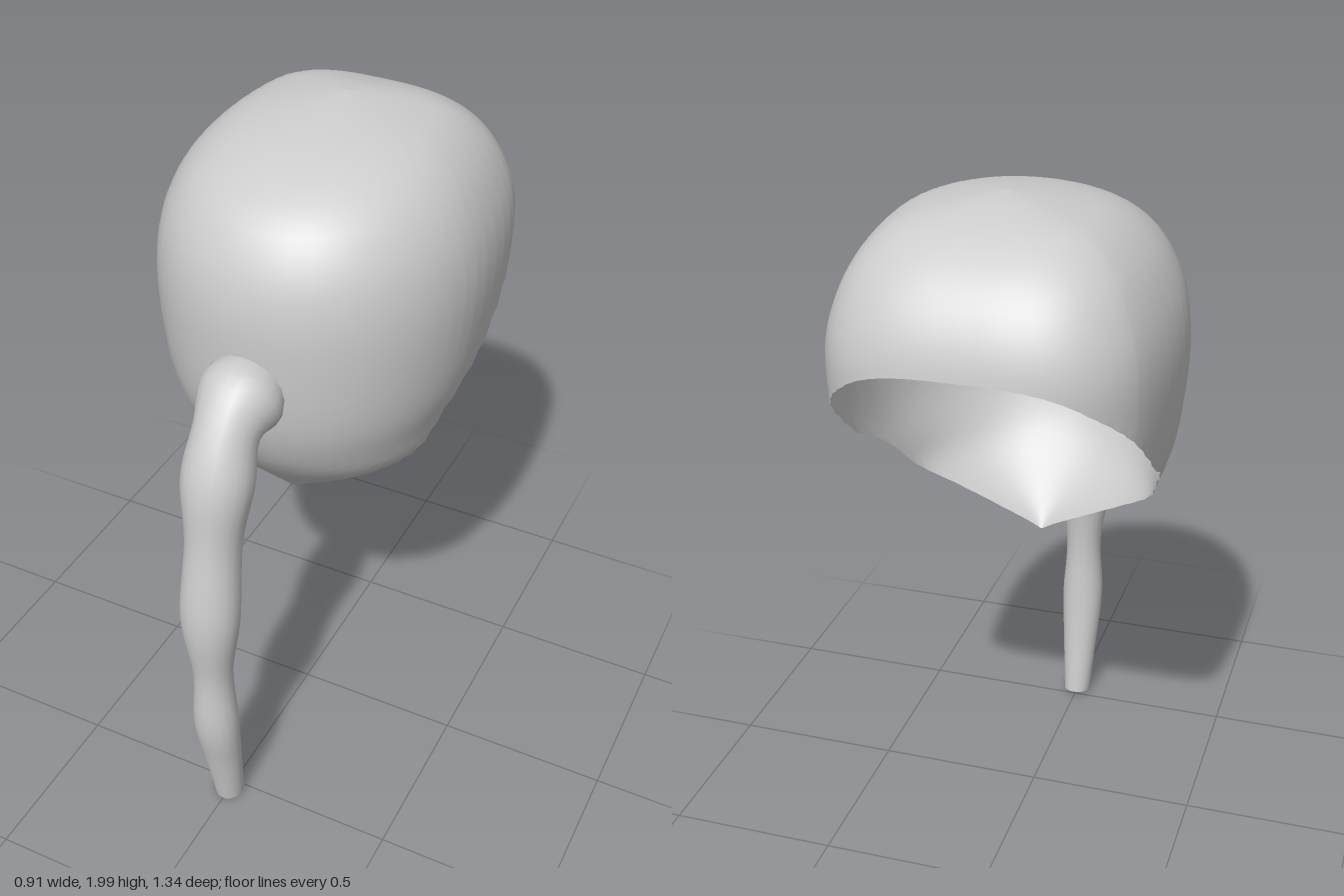
import * as THREE from 'three';

const V = (x, y, z) => new THREE.Vector3(x, y, z);
const spline = (pts) => new THREE.CatmullRomCurve3(pts, false, 'catmullrom', 0.5);

// Skin a list of closed rings; each ring runs from +z towards +x, rings go downwards
function loft(rings) {
  const n = rings[0].length, pos = [], idx = [];
  rings.forEach((r) => r.forEach((p) => pos.push(p.x, p.y, p.z)));
  for (let i = 0; i < rings.length - 1; i++) {
    for (let j = 0; j < n; j++) {
      const k = (j + 1) % n, a = i * n, b = a + n;
      idx.push(a + j, b + j, a + k, a + k, b + j, b + k);
    }
  }
  const g = new THREE.BufferGeometry();
  g.setAttribute('position', new THREE.Float32BufferAttribute(pos, 3));
  g.setIndex(idx);
  g.computeVertexNormals();
  return g;
}

// Shell sections: height, half width, centre z, front z, back z
const SECTIONS = [
  [2.0, 0.0, -0.23, -0.23, -0.23],
  [1.985, 0.11, -0.22, -0.09, -0.33],
  [1.945, 0.26, -0.2, 0.09, -0.45],
  [1.87, 0.355, -0.17, 0.25, -0.56],
  [1.77, 0.415, -0.15, 0.33, -0.635],
  [1.65, 0.447, -0.15, 0.368, -0.672],
  [1.5, 0.45, -0.14, 0.373, -0.672],
  [1.3, 0.425, -0.13, 0.355, -0.672],
  [1.16, 0.38, -0.12, 0.31, -0.672],
  [1.06, 0.345, -0.12, 0.245, -0.66],
  [0.97, 0.22, -0.12, 0.165, -0.64],
  [0.88, 0.03, -0.12, 0.08, -0.6],
];
// Opening edge seen from the side: height, z
const RIM = [[0.88, 0.08], [0.97, 0.06], [1.02, 0.04], [1.07, 0], [1.12, -0.05], [1.18, -0.1],
  [1.25, -0.19], [1.3, -0.29], [1.4, -0.41], [1.57, -0.6], [1.65, -0.672]];

function rimZ(y) {
  if (y >= 1.65) return -9;
  for (let i = 1; i < RIM.length; i++) {
    const [y0, z0] = RIM[i - 1], [y1, z1] = RIM[i];
    if (y <= y1) return z0 + (z1 - z0) * (y - y0) / (y1 - y0);
  }
  return -9;
}

function shellGeometry() {
  const widths = spline(SECTIONS.map((s) => V(s[1], s[0], s[2])));
  const depths = spline(SECTIONS.map((s) => V(s[3], s[0], s[4])));
  const columns = 112, rows = 36;
  const point = (a, s) => {
    const w = widths.getPoint(s), d = depths.getPoint(s);
    const c = Math.cos(a), sn = Math.sin(a);
    const e = 2 / (c > 0 ? 2.1 : 2.1 + 0.9 * Math.min(1, -c * 2));
    const pleat = 1 + 0.006 * Math.cos(a * 56);
    const x = Math.sign(sn) * Math.pow(Math.abs(sn), e) * w.x * pleat;
    const reach = c > 0 ? d.x - w.z : w.z - d.z;
    const z = w.z + Math.sign(c) * Math.pow(Math.abs(c), e) * reach;
    return V(x, w.y, z);
  };
  const below = (a, s) => {
    const p = point(a, s);
    return p.z < rimZ(p.y);
  };
  // Each column runs from the crown to where it meets the opening
  const ends = [];
  for (let j = 0; j < columns; j++) {
    const a = (j / columns) * Math.PI * 2;
    let hi = 0;
    while (hi < 1 && !below(a, hi)) hi = Math.min(1, hi + 0.005);
    let lo = Math.max(0, hi - 0.005);
    for (let k = 0; k < 14; k++) {
      const m = (lo + hi) / 2;
      if (below(a, m)) hi = m; else lo = m;
    }
    ends.push(lo);
  }
  const rings = [];
  for (let i = 0; i <= rows; i++) {
    rings.push(ends.map((end, j) => point((j / columns) * Math.PI * 2, end * i / rows)));
  }
  return loft(rings);
}

// Trunk stations: y, z, half width, half depth
const TRUNK = [
  [1.4, 0.27, 0.01, 0.01],
  [1.4, 0.295, 0.075, 0.075],
  [1.4, 0.38, 0.118, 0.118],
  [1.345, 0.465, 0.09, 0.093],
  [1.22, 0.52, 0.1, 0.098],
  [1.04, 0.555, 0.078, 0.082],
  [0.8, 0.592, 0.085, 0.08],
  [0.58, 0.592, 0.057, 0.058],
  [0.38, 0.588, 0.067, 0.063],
  [0.2, 0.56, 0.056, 0.053],
  [0.02, 0.53, 0.043, 0.046],
];

function trunkRings() {
  const path = spline(TRUNK.map((s) => V(0, s[0], s[1])));
  const size = spline(TRUNK.map((s) => V(s[2], s[3], 0)));
  const rings = [], steps = 50, sides = 20;
  for (let i = 0; i <= steps; i++) {
    const c = path.getPoint(i / steps), t = path.getTangent(i / steps), r = size.getPoint(i / steps);
    const n = V(0, t.z, -t.y);
    rings.push(Array.from({ length: sides }, (_, j) => {
      const a = (j / sides) * Math.PI * 2;
      return c.clone().addScaledVector(n, Math.cos(a) * r.y).add(V(Math.sin(a) * r.x, 0, 0));
    }));
  }
  return rings;
}

export function createModel() {
  const model = new THREE.Group();
  model.name = 'trunkMask';
  const grey = new THREE.MeshStandardMaterial({ color: 0xcccccc, side: THREE.DoubleSide });
  grey.name = 'light grey';
  const add = (name, geometry) => {
    const mesh = new THREE.Mesh(geometry, grey);
    mesh.name = name;
    model.add(mesh);
  };

  // Open hood, trunk hanging from its front, and the flat trunk tip
  add('hood', shellGeometry());
  const rings = trunkRings();
  add('trunk', loft(rings));
  const last = rings[rings.length - 1];
  const centre = last.reduce((s, p) => s.add(p), V(0, 0, 0)).divideScalar(last.length);
  add('trunkTip', loft([last, last.map(() => centre)]));
  return model;
}
